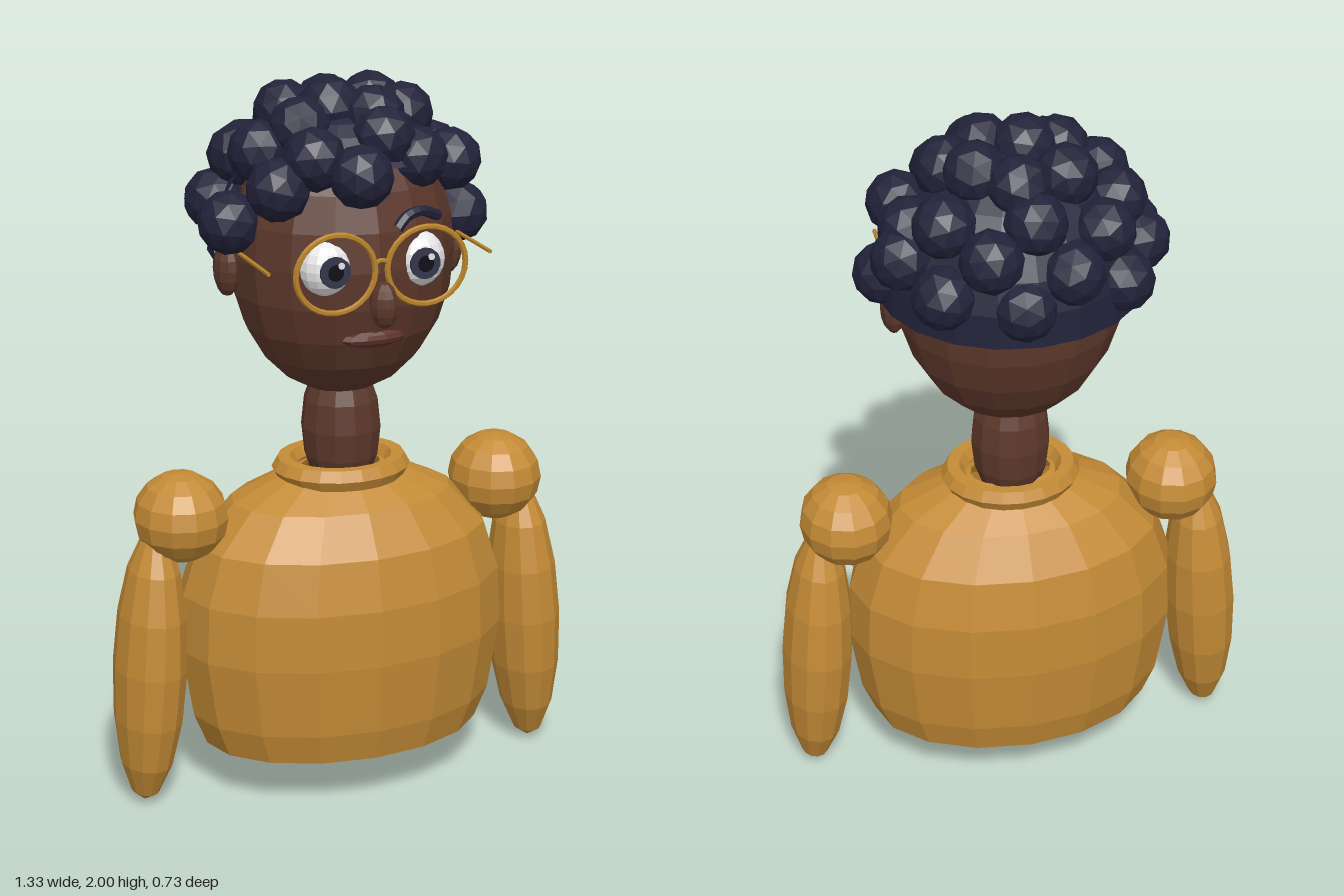
import * as THREE from 'three';

const mat = (name, color, side = THREE.FrontSide) => {
  const m = new THREE.MeshStandardMaterial({ color, flatShading: true, side });
  m.name = name;
  return m;
};

export function createModel() {
  const root = new THREE.Group();
  root.name = 'bust';
  const skin = mat('skin', 0x5d382b);
  const lip = mat('lip', 0x5c2f27);
  const hair = mat('hair', 0x22223a, THREE.DoubleSide);
  const sweater = mat('sweater', 0xc48b36, THREE.DoubleSide);
  const gold = mat('gold', 0xb8832a);
  const white = mat('white', 0xf0f0f0);
  const iris = mat('iris', 0x34354a);
  const pupil = mat('pupil', 0x0c0c14);

  const add = (name, geo, material, pos = [0, 0, 0], scale = [1, 1, 1], parent = root) => {
    const m = new THREE.Mesh(geo, material);
    m.name = name;
    m.position.set(...pos);
    m.scale.set(...scale);
    parent.add(m);
    return m;
  };
  const ball = (name, material, pos, scale, w = 12, h = 8, parent = root) =>
    add(name, new THREE.SphereGeometry(1, w, h), material, pos, scale, parent);
  const group = (name) => {
    const g = new THREE.Group();
    g.name = name;
    root.add(g);
    return g;
  };

  // Sweater body, open at the hem
  const profile = [[0.85, 0.14], [0.93, 0.23], [1, 0.43], [0.985, 0.59], [0.89, 0.73],
    [0.67, 0.84], [0.4, 0.9], [0.24, 0.92]].map(([r, y]) => new THREE.Vector2(r, y));
  add('torso', new THREE.LatheGeometry(profile, 16), sweater, [0, 0, 0], [0.47, 1, 0.31]);
  const collar = new THREE.TorusGeometry(0.16, 0.034, 6, 20);
  collar.rotateX(Math.PI / 2);
  add('collar', collar, sweater, [0, 0.916, 0], [1, 1, 0.85]);

  // Shoulders and tapering sleeves
  for (const s of [-1, 1]) {
    ball('shoulder', sweater, [s * 0.465, 0.825, 0], [0.13, 0.125, 0.138], 12, 8);
    const arm = ball('sleeve', sweater, [s * 0.562, 0.4, 0], [0.1, 0.4, 0.13], 12, 8);
    arm.rotation.z = s * 0.06;
  }

  // Neck and head
  ball('neck', skin, [0, 1.03, 0], [0.11, 0.21, 0.11], 12, 8);
  ball('head', skin, [0, 1.53, 0], [0.308, 0.4, 0.28], 16, 12);
  ball('nose', skin, [0, 1.452, 0.308], [0.038, 0.063, 0.042], 10, 8);
  ball('mouth', lip, [0, 1.343, 0.237], [0.09, 0.024, 0.025], 10, 6);

  for (const s of [-1, 1]) {
    ball('ear', skin, [s * 0.32, 1.5, -0.015], [0.035, 0.075, 0.05], 10, 8);

    // Eye with flat discs for iris, pupil and glint
    ball('eyeWhite', white, [s * 0.13, 1.545, 0.225], [0.072, 0.075, 0.06], 14, 10);
    const disc = (name, r, d, z, material, dx = 0, dy = 0) => {
      const geo = new THREE.CylinderGeometry(r, r, d, 14);
      geo.rotateX(Math.PI / 2);
      add(name, geo, material, [s * 0.126 + dx, 1.545 + dy, z]);
    };
    disc('iris', 0.042, 0.009, 0.2815, iris);
    disc('pupil', 0.022, 0.006, 0.285, pupil);
    disc('glint', 0.009, 0.005, 0.287, white, 0.015, 0.018);
  }

  // Brow
  const browPath = new THREE.CatmullRomCurve3([
    new THREE.Vector3(0.055, 1.64, 0.262), new THREE.Vector3(0.085, 1.668, 0.252),
    new THREE.Vector3(0.135, 1.675, 0.236), new THREE.Vector3(0.19, 1.652, 0.214)]);
  add('brow', new THREE.TubeGeometry(browPath, 8, 0.015, 6), hair);

  // Spectacles: two rims, a bridge and two free temples
  const specs = group('spectacles');
  for (const s of [-1, 1]) {
    add('rim', new THREE.TorusGeometry(0.104, 0.008, 6, 28), gold, [s * 0.127, 1.542, 0.288], [1.06, 1, 1], specs);
    const rod = new THREE.CylinderGeometry(0.006, 0.006, 0.27, 6);
    rod.rotateX(Math.PI / 2);
    add('temple', rod, gold, [s * 0.31, 1.56, 0.15], [1, 1, 1], specs);
  }
  add('bridge', new THREE.TorusGeometry(0.02, 0.006, 6, 8, Math.PI), gold, [0, 1.548, 0.288], [1, 1, 1], specs);

  // Hair: crown cap, longer back cap, then curls
  const hairGroup = group('hair');
  const capPos = [0, 1.53, 0];
  const capScale = [0.36, 0.4, 0.345];
  add('crownCap', new THREE.SphereGeometry(1, 16, 6, 0, Math.PI * 2, 0, 0.86), hair, capPos, [0.34, 0.4, 0.31], hairGroup);
  add('backCap', new THREE.SphereGeometry(1, 10, 7, Math.PI, Math.PI, 0, Math.PI / 2), hair, capPos, capScale, hairGroup);

  const curls = [
    // hairline
    [-0.035, 1.78, 0.235], [0.15, 1.8, 0.155], [-0.235, 1.745, 0.155], [-0.14, 1.82, 0.17],
    [0.285, 1.765, 0.07], [-0.33, 1.64, 0.04], [0.338, 1.6, 0], [0.06, 1.86, 0.15],
    // crown
    [-0.04, 1.918, 0.02], [0.06, 1.9, 0.08], [-0.14, 1.88, 0.06], [-0.24, 1.82, 0.03],
    [0.17, 1.885, 0.01], [0.11, 1.905, -0.07], [-0.12, 1.89, -0.11], [0.01, 1.89, -0.14],
    // sides and back
    [-0.26, 1.79, -0.08], [0.28, 1.76, -0.06], [-0.32, 1.67, -0.1], [0.31, 1.7, -0.11],
    [0.21, 1.81, -0.16], [-0.015, 1.82, -0.22], [-0.2, 1.77, -0.2], [0.11, 1.75, -0.26],
    [-0.1, 1.7, -0.28], [0.23, 1.65, -0.24], [-0.25, 1.62, -0.21], [0.03, 1.62, -0.295]];
  const curlGeo = new THREE.IcosahedronGeometry(0.086, 1);
  curls.forEach((p, i) => {
    const curl = add('curl', curlGeo, hair, p, [1, 1, 1], hairGroup);
    curl.rotation.set(i * 1.3, i * 2.1, 0);
  });

  return root;
}
